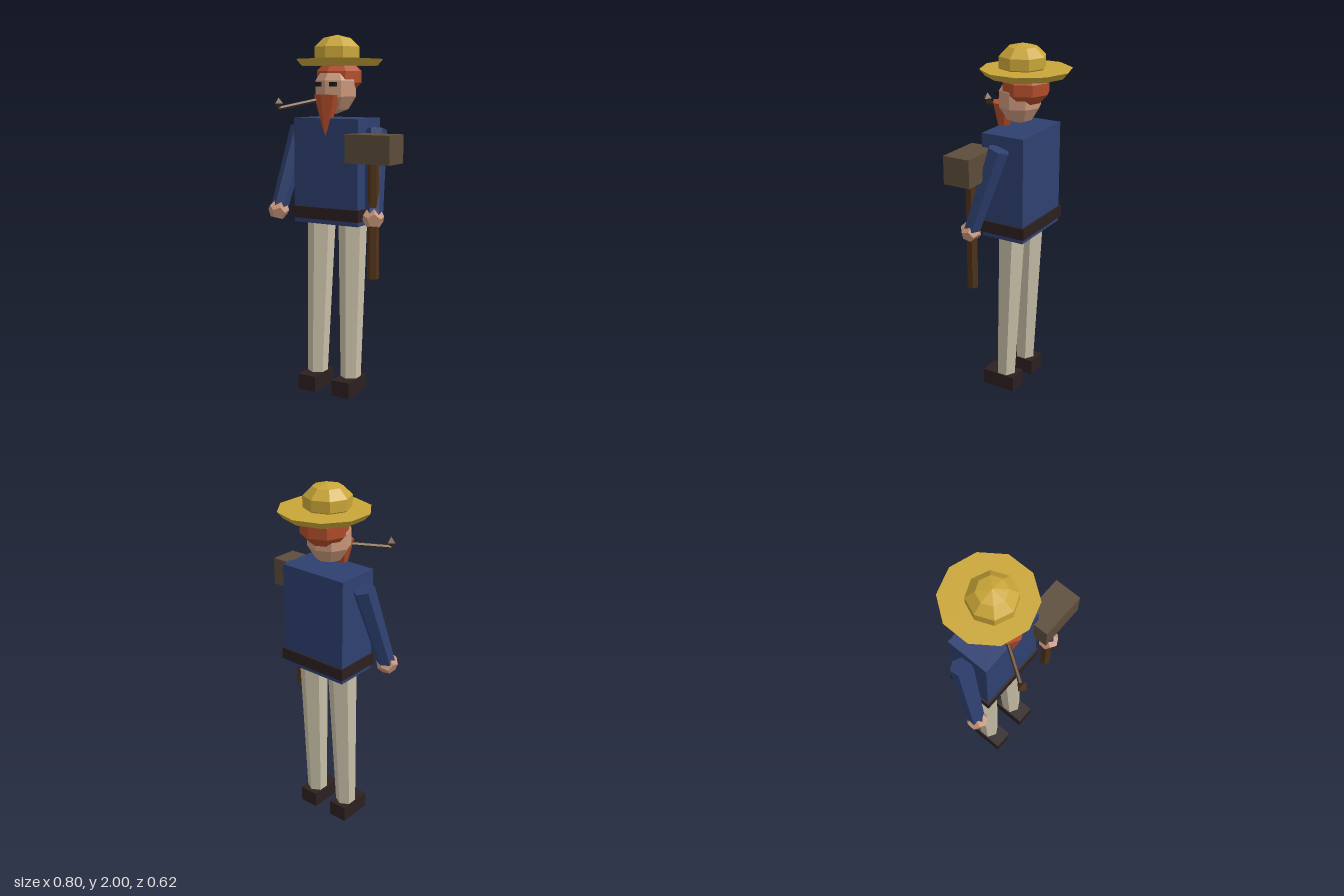
import * as THREE from 'three';

const mat = (name, color) => {
  const m = new THREE.MeshStandardMaterial({ color, flatShading: true });
  m.name = name;
  return m;
};

export function createModel() {
  const straw = mat('straw', 0xcaa638);
  const blue = mat('blue cloth', 0x2e4070);
  const linen = mat('linen', 0xc8bfa8);
  const skin = mat('skin', 0xc8967a);
  const ginger = mat('ginger', 0xb04c2a);
  const leather = mat('dark leather', 0x2c2020);
  const wood = mat('wood', 0x4e3219);
  const iron = mat('hammer head brown', 0x5c4c3a);
  const black = mat('black', 0x1a1a1c);

  const model = new THREE.Group();
  model.name = 'figure';
  const CX = -0.045; // middle of the body

  const add = (name, geo, material, x, y, z) => {
    const mesh = new THREE.Mesh(geo, material);
    mesh.name = name;
    mesh.position.set(x, y, z);
    model.add(mesh);
    return mesh;
  };
  const box = (name, material, w, h, d, x, y, z) =>
    add(name, new THREE.BoxGeometry(w, h, d), material, x, y, z);
  const ball = (name, material, rx, ry, rz, x, y, z) =>
    add(name, new THREE.SphereGeometry(1, 8, 5).scale(rx, ry, rz), material, x, y, z);
  // tapered limb between two points
  const limb = (name, material, top, bottom, rTop, rBottom, sides = 6) => {
    const a = new THREE.Vector3(...top), b = new THREE.Vector3(...bottom);
    const axis = a.clone().sub(b);
    const mid = a.clone().add(b).multiplyScalar(0.5);
    const geo = new THREE.CylinderGeometry(rTop, rBottom, axis.length(), sides);
    const mesh = add(name, geo, material, mid.x, mid.y, mid.z);
    mesh.quaternion.setFromUnitVectors(new THREE.Vector3(0, 1, 0), axis.normalize());
    return mesh;
  };

  // Body
  box('torso', blue, 0.405, 0.58, 0.25, CX, 1.26, -0.04);
  box('belt', leather, 0.425, 0.065, 0.272, CX, 1.028, -0.04);

  // Limbs, mirrored about the body
  for (const s of [-1, 1]) {
    const side = s > 0 ? 'left' : 'right';
    limb(side + 'Leg', linen, [CX + s * 0.102, 0.98, -0.04], [CX + s * 0.11, 0.07, -0.005], 0.08, 0.057);
    box(side + 'Shoe', leather, 0.112, 0.09, 0.2, CX + s * 0.11, 0.045, 0.015);
    limb(side + 'Arm', blue, [CX + s * 0.243, 1.49, -0.045], [CX + s * 0.305, 1.04, 0.088], 0.06, 0.048);
    const hand = add(side + 'Hand', new THREE.DodecahedronGeometry(0.06), skin, CX + s * 0.305, 1.03, 0.095);
    hand.rotation.set(0.28, 0, s * 0.13);
    box(side + 'Eye', black, 0.032, 0.024, 0.03, CX + s * 0.045, 1.733, 0.076);
  }

  // Head
  ball('head', skin, 0.121, 0.14, 0.121, CX, 1.71, -0.028);
  ball('hair', ginger, 0.134, 0.1, 0.134, CX, 1.774, -0.065);
  limb('beard', ginger, [CX, 1.675, 0.064], [CX, 1.435, 0.08], 0.073, 0.0005);

  // Hat
  add('hatBrim', new THREE.CylinderGeometry(0.245, 0.215, 0.035, 10), straw, CX, 1.852, -0.065);
  ball('hatCrown', straw, 0.134, 0.095, 0.134, CX, 1.905, -0.042);

  // Pipe
  limb('pipeStem', wood, [-0.09, 1.65, 0.09], [-0.213, 1.607, 0.283], 0.011, 0.011);
  add('pipeBowl', new THREE.OctahedronGeometry(0.029).scale(1, 1.1, 1), wood, -0.213, 1.633, 0.283);

  // Hammer held in the left hand
  limb('hammerHandle', wood, [0.257, 1.36, 0.091], [0.257, 0.7, 0.091], 0.032, 0.032);
  box('hammerHead', iron, 0.268, 0.153, 0.156, 0.258, 1.398, 0.091);

  return model;
}
